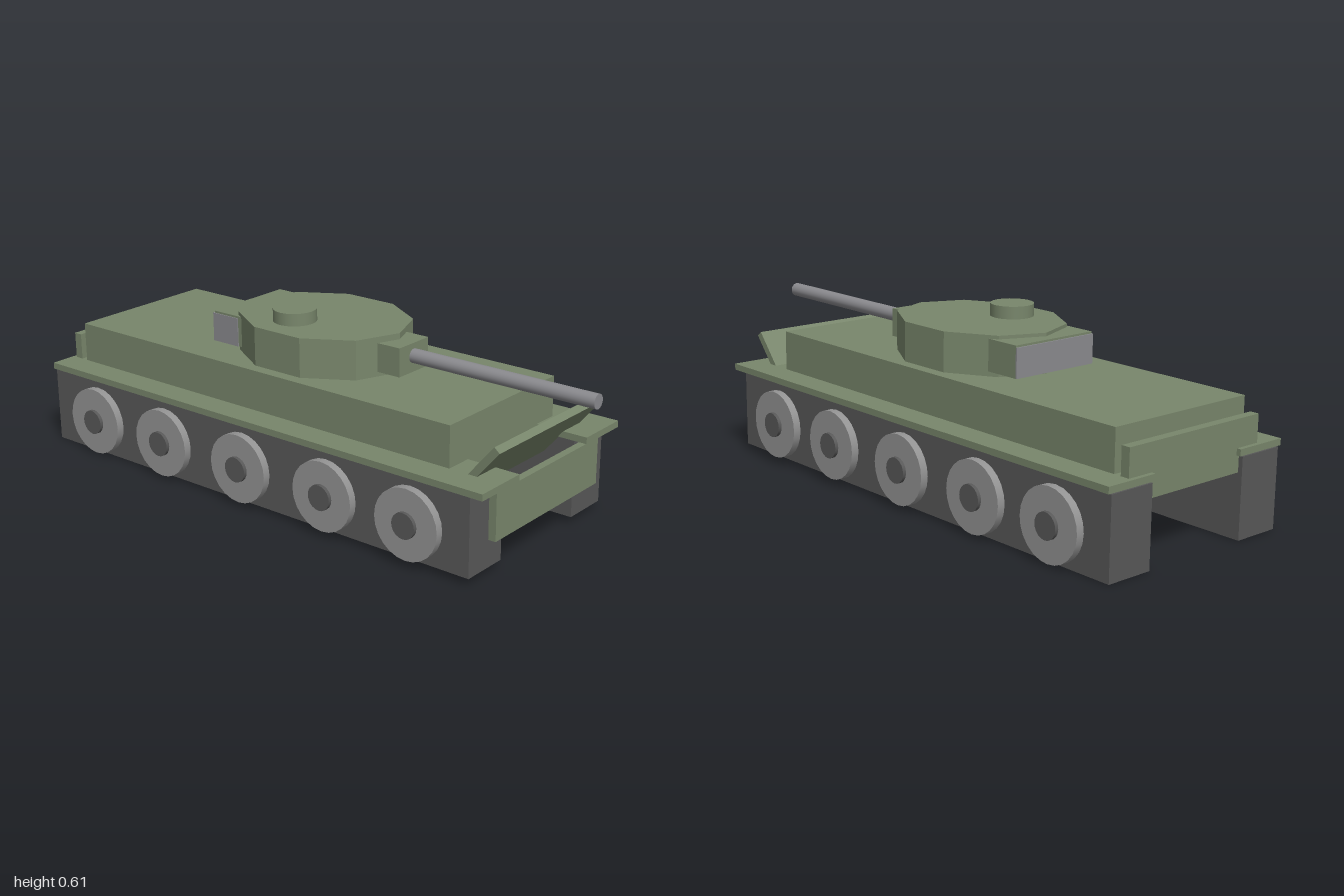
import * as THREE from 'three';

export function createModel() {
  const mat = (name, color) => {
    const m = new THREE.MeshStandardMaterial({ color });
    m.name = name;
    return m;
  };
  const green = mat('armourGreen', 0x78866b);
  const dark = mat('trackGrey', 0x585858);
  const light = mat('wheelGrey', 0x939393);
  const steel = mat('barrelGrey', 0x8a8a8e);

  const model = new THREE.Group();
  model.name = 'tank';
  // The whole vehicle sits slightly nose-up
  const body = new THREE.Group();
  body.name = 'body';
  body.rotation.x = -0.0131;
  model.add(body);

  const add = (parent, name, geometry, material, x = 0, y = 0, z = 0) => {
    const mesh = new THREE.Mesh(geometry, material);
    mesh.name = name;
    mesh.position.set(x, y, z);
    parent.add(mesh);
    return mesh;
  };
  // Box given by its limits on each axis
  const box = (parent, name, material, [x0, x1], [y0, y1], [z0, z1]) =>
    add(parent, name, new THREE.BoxGeometry(x1 - x0, y1 - y0, z1 - z0), material,
      (x0 + x1) / 2, (y0 + y1) / 2, (z0 + z1) / 2);

  // Hull deck and end plates
  box(body, 'deck', green, [-0.28, 0.28], [0.27, 0.439], [-0.927, 0.677]);
  box(body, 'lowerFrontPlate', green, [-0.28, 0.28], [0.113, 0.27], [0.822, 0.848]);
  box(body, 'rearPlate', green, [-0.28, 0.28], [0.225, 0.393], [-0.983, -0.952]);
  const glacis = add(body, 'slopedFrontPlate',
    new THREE.BoxGeometry(0.56, 0.025, 0.235), green, 0, 0.312, 0.769);
  glacis.rotation.x = -0.87;

  // Tracks, fenders and road wheels on both sides
  const wheelGeo = new THREE.CylinderGeometry(0.118, 0.118, 0.028, 24).rotateZ(Math.PI / 2);
  const hubGeo = new THREE.CylinderGeometry(0.043, 0.043, 0.04, 20).rotateZ(Math.PI / 2);
  for (const s of [-1, 1]) {
    const side = s > 0 ? 'left' : 'right';
    const span = (a, b) => (s > 0 ? [a, b] : [-b, -a]);
    box(body, side + 'Track', dark, span(0.197, 0.363), [0.0131, 0.277], [-0.998, 0.812]);
    box(body, side + 'Fender', green, span(0.186, 0.375), [0.28, 0.302], [-0.998, 0.863]);
    for (const z of [0.597, 0.267, -0.091, -0.448, -0.778]) {
      add(body, side + 'Wheel', wheelGeo, light, s * 0.376, 0.135, z);
      add(body, side + 'Hub', hubGeo, dark, s * 0.382, 0.135, z);
    }
  }

  // Turret: a ten-sided drum, longer than wide
  const turret = new THREE.Group();
  turret.name = 'turret';
  turret.position.z = 0.006;
  body.add(turret);
  add(turret, 'turretBody',
    new THREE.CylinderGeometry(1, 1, 0.134, 10).scale(0.252, 1, 0.313).toNonIndexed(),
    green, 0, 0.5045, -0.047).geometry.computeVertexNormals();
  add(turret, 'cupola', new THREE.CylinderGeometry(0.073, 0.073, 0.045, 20),
    green, -0.101, 0.591, -0.09);

  // Gun mantlet and barrel
  box(turret, 'mantlet', green, [-0.075, 0.075], [0.4545, 0.551], [0.19, 0.323]);
  add(turret, 'barrel', new THREE.CylinderGeometry(0.024, 0.024, 0.72, 24).rotateX(Math.PI / 2),
    steel, 0, 0.508, 0.64);

  // Stowage box at the turret rear, with bare panels
  box(turret, 'stowageBox', green, [-0.163, 0.165], [0.455, 0.56], [-0.397, -0.24]);
  box(turret, 'stowageRearPanel', steel, [-0.163, 0.165], [0.455, 0.553], [-0.402, -0.397]);
  box(turret, 'stowageSidePanel', steel, [-0.166, -0.163], [0.455, 0.553], [-0.402, -0.29]);

  return model;
}
